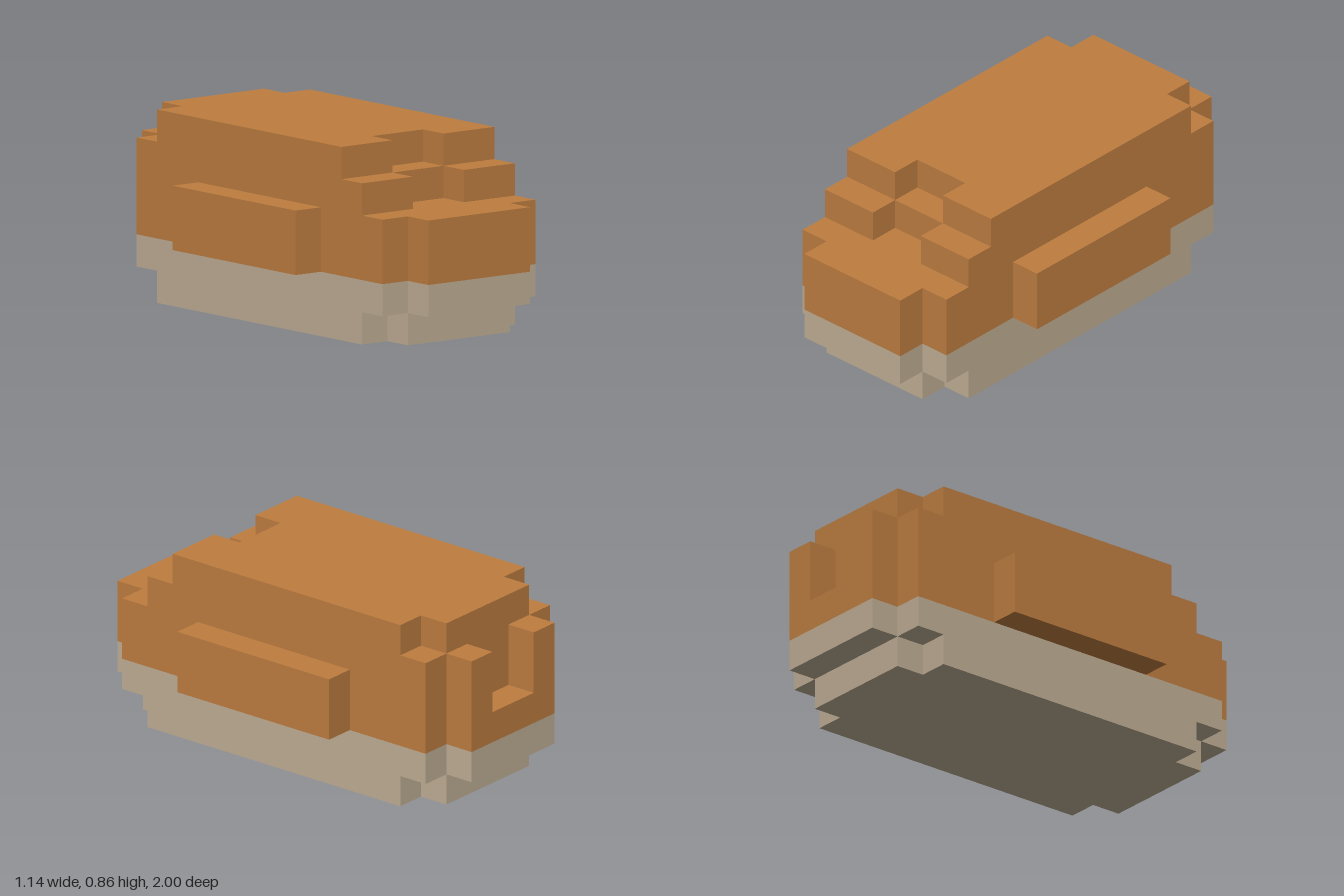
import * as THREE from 'three';

// One block of the stepped body: the length is 14 blocks
const U = 1 / 7;

export function createModel() {
  const model = new THREE.Group();
  model.name = 'blockBody';

  const orange = new THREE.MeshStandardMaterial({ color: 0xbe7d40 });
  orange.name = 'orange shell';
  const beige = new THREE.MeshStandardMaterial({ color: 0xbfae94 });
  beige.name = 'beige underside';

  // Slab from the +x half of its plan outline [x, z], front to back, in blocks
  function slab(name, material, bottom, top, half) {
    const mirrored = half.map(([x, z]) => [-x, z]).reverse();
    const points = [...half, ...mirrored].map(([x, z]) => new THREE.Vector2(x * U, -z * U));
    const geometry = new THREE.ExtrudeGeometry(new THREE.Shape(points), {
      depth: (top - bottom) * U,
      bevelEnabled: false,
    });
    geometry.rotateX(-Math.PI / 2);
    const mesh = new THREE.Mesh(geometry, material);
    mesh.name = name;
    mesh.position.y = bottom * U;
    model.add(mesh);
  }

  // Shared outline pieces
  const frontEnd = [[2, 7], [2, 6], [3, 6]];
  const backEnd = [[3, -6], [2, -6], [2, -7]];
  const backNotch = [[1, -7], [1, -6]];

  // Beige lower body
  slab('base', beige, 0, 1, [[2, 6], [2, 5], [3, 5], [3, -5], [2, -5], [2, -6]]);
  slab('lowerBody', beige, 1, 2, [...frontEnd, ...backEnd]);

  // Orange upper body, stepping back at the front and notched at the rear
  slab('middleBody', orange, 2, 3, [...frontEnd, ...backEnd]);
  slab('upperBody', orange, 3, 4, [...frontEnd, ...backEnd, ...backNotch]);
  slab('frontStep', orange, 4, 5, [[1, 4], [1, 5], [3, 5], ...backEnd, ...backNotch]);
  slab('roof', orange, 5, 6, [[1, 3], [1, 4], [3, 4], [3, -5], [2, -5], [2, -6]]);

  // Side pods
  for (const side of [1, -1]) {
    const pod = new THREE.Mesh(new THREE.BoxGeometry(U, 2 * U, 6 * U), orange);
    pod.name = side > 0 ? 'leftSidePod' : 'rightSidePod';
    pod.position.set(side * 3.5 * U, 3 * U, 0);
    model.add(pod);
  }

  return model;
}
